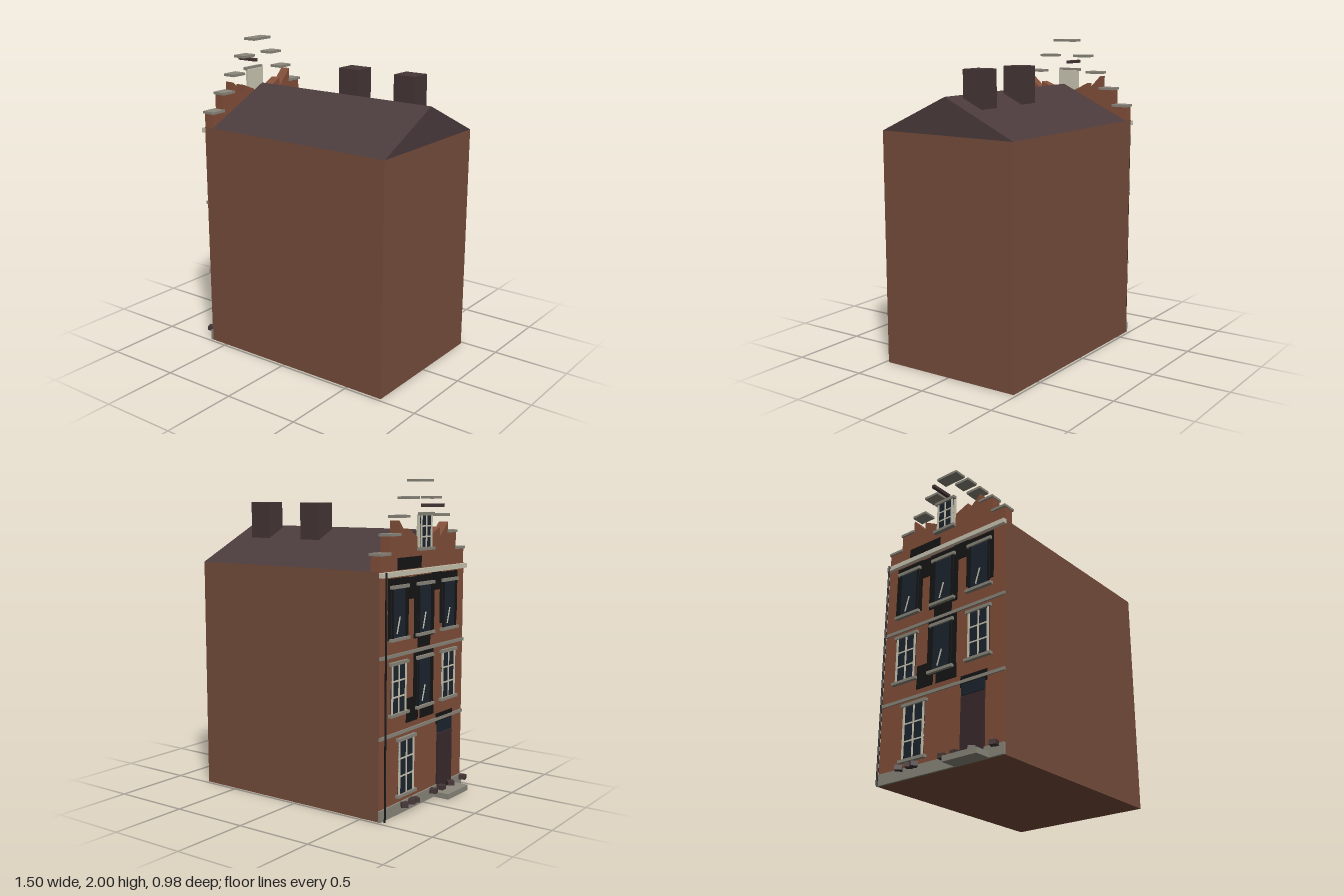
import * as THREE from 'three';

export function createModel() {
  const model = new THREE.Group();
  const paint = (name, color) => {
    const m = new THREE.MeshStandardMaterial({ color });
    m.name = name;
    return m;
  };
  const wallBrick = paint('wall brick', 0x774e3d);
  const facadeBrick = paint('facade brick', 0x84503a);
  const slate = paint('roof slate', 0x4b3b3d);
  const charred = paint('charred timber', 0x463636);
  const stone = paint('stone', 0x8c887d);
  const cream = paint('cream paint', 0xcdc9b5);
  const soot = paint('soot', 0x161616);
  const glass = paint('window glass', 0x1d2530);
  const doorPaint = paint('door', 0x3a2a2d);

  const FACE = -0.62; // the street facade looks along -x

  function box(name, mat, sx, sy, sz, x, y, z, parent = model) {
    const mesh = new THREE.Mesh(new THREE.BoxGeometry(sx, sy, sz), mat);
    mesh.position.set(x, y, z);
    mesh.name = name;
    parent.add(mesh);
    return mesh;
  }
  // Box fixed to the facade: starts at `out` from the wall, with depth d
  const onFacade = (name, mat, z, y, w, h, out, d, parent = model) =>
    box(name, mat, d, h, w, FACE - out - d / 2, y, z, parent);

  // Outline of (z, y) points, extruded from x0 towards -x
  function prism(name, mat, points, x0, depth) {
    const shape = new THREE.Shape(points.map(([z, y]) => new THREE.Vector2(z, y)));
    const geo = new THREE.ExtrudeGeometry(shape, { depth, bevelEnabled: false });
    geo.rotateY(-Math.PI / 2).translate(x0, 0, 0);
    const mesh = new THREE.Mesh(geo, mat);
    mesh.name = name;
    model.add(mesh);
  }

  // Body, roof and chimneys
  box('body', wallBrick, 1.37, 1.475, 0.96, 0.065, 0.7375, 0);
  onFacade('facadeSkin', facadeBrick, 0, 0.7375, 0.96, 1.475, 0, 0.003);
  prism('roof', slate, [[-0.48, 1.475], [0.48, 1.475], [0, 1.7]], 0.75, 1.305);
  for (const x of [0.13, 0.54]) box('chimney', charred, 0.15, 0.355, 0.135, x, 1.677, -0.0975);

  // Broken stepped gable
  prism('gable', facadeBrick, [
    [-0.48, 1.475], [0.48, 1.475], [0.48, 1.565], [0.38, 1.565], [0.38, 1.675], [0.28, 1.675],
    [0.28, 1.74], [0.18, 1.65], [0.18, 1.71], [0.08, 1.67], [0.08, 1.6], [-0.08, 1.6],
    [-0.08, 1.66], [-0.18, 1.71], [-0.18, 1.655], [-0.28, 1.76], [-0.28, 1.675],
    [-0.38, 1.675], [-0.38, 1.565], [-0.48, 1.565],
  ], -0.555, 0.065);

  // Coping slabs, the upper ones left hanging above the broken steps
  [[0.43, 1.572], [0.33, 1.68], [0.23, 1.783], [0.13, 1.89]].forEach(([z, y]) => {
    for (const s of [-1, 1]) box('copingSlab', stone, 0.085, 0.016, 0.11, -0.5875, y, s * z);
  });
  box('topSlab', stone, 0.085, 0.016, 0.165, -0.5875, 1.992, 0);
  box('hoistBeam', charred, 0.15, 0.02, 0.022, -0.675, 1.845, 0);

  // Horizontal bands
  onFacade('plinth', stone, 0, 0.035, 0.966, 0.07, 0, 0.015);
  for (const y of [0.5, 0.975]) onFacade('stringCourse', stone, 0, y, 0.966, 0.02, 0, 0.012);
  onFacade('cornice', cream, 0, 1.455, 0.975, 0.03, 0, 0.025);

  // Window centred at (z, y); a burnt one has no bars but a broken shard
  function makeWindow(z, y, w, h, burnt) {
    const g = new THREE.Group();
    g.name = burnt ? 'burntWindow' : 'window';
    model.add(g);
    const t = 0.014;
    onFacade('glass', glass, z, y, w, h, 0.008, 0.004, g);
    for (const s of [-1, 1])
      onFacade('sideFrame', burnt ? soot : cream, z + s * (w - t) / 2, y, t, h, 0.008, 0.009, g);
    onFacade('lintel', stone, z, y + h / 2 + 0.009, w + 0.03, 0.02, 0, 0.024, g);
    onFacade('sill', stone, z, y - h / 2 - 0.009, w + 0.04, 0.018, 0, 0.028, g);
    if (burnt) {
      const shard = onFacade('shard', cream, z - 0.01, y - h * 0.25, 0.009, h * 0.36, 0.012, 0.004, g);
      shard.rotation.x = 0.3;
    } else {
      onFacade('mullion', cream, z, y, 0.011, h, 0.008, 0.008, g);
      for (const k of [-1, 1]) onFacade('glazingBar', cream, z, y + k * h / 6, w, 0.009, 0.008, 0.008, g);
    }
  }
  for (const z of [-0.29, 0, 0.29]) {
    makeWindow(z, 1.225, 0.16, 0.29, true);
    makeWindow(z, 0.775, 0.16, 0.29, z === 0);
  }
  makeWindow(-0.2, 0.285, 0.17, 0.33, false);

  // Gable window standing free in the gap
  box('gableWindowBack', cream, 0.015, 0.2, 0.15, FACE + 0.002, 1.69, 0);
  makeWindow(0, 1.69, 0.13, 0.19, false);

  // Soot stains: z, y, width, height
  [
    [-0.29, 1.25, 0.22, 0.36], [0, 1.24, 0.23, 0.38], [0.29, 1.27, 0.21, 0.32],
    [-0.16, 1.36, 0.14, 0.13], [0.14, 1.38, 0.12, 0.11], [0, 1.03, 0.14, 0.08],
    [0, 0.79, 0.23, 0.36], [-0.13, 0.62, 0.13, 0.15], [0.04, 0.59, 0.16, 0.09],
    [-0.17, 1.51, 0.26, 0.07], [0.255, 0.5, 0.2, 0.07],
  ].forEach(([z, y, w, h], i) => onFacade('sootStain', soot, z, y, w, h, 0.003, 0.004 + (i % 3) * 0.0005));

  // Door, transom and step
  onFacade('door', doorPaint, 0.255, 0.22, 0.17, 0.37, 0.003, 0.015);
  onFacade('transom', glass, 0.255, 0.445, 0.17, 0.07, 0.003, 0.012);
  box('doorStep', stone, 0.12, 0.035, 0.25, -0.68, 0.0175, 0.255);

  // Drainpipe
  const pipe = new THREE.Mesh(new THREE.CylinderGeometry(0.006, 0.006, 1.47, 8), soot);
  pipe.position.set(-0.652, 0.735, -0.46);
  pipe.name = 'drainpipe';
  model.add(pipe);

  // Fallen rubble: z, turn
  [[-0.27, 0.7], [-0.185, 0.5], [-0.15, 1.0], [0.07, 0.25], [0.165, 0], [0.28, 0.8], [0.44, 0.3]]
    .forEach(([z, turn]) => {
      box('rubble', charred, 0.044, 0.028, 0.044, -0.668, 0.062, z).rotation.y = turn;
    });

  return model;
}
